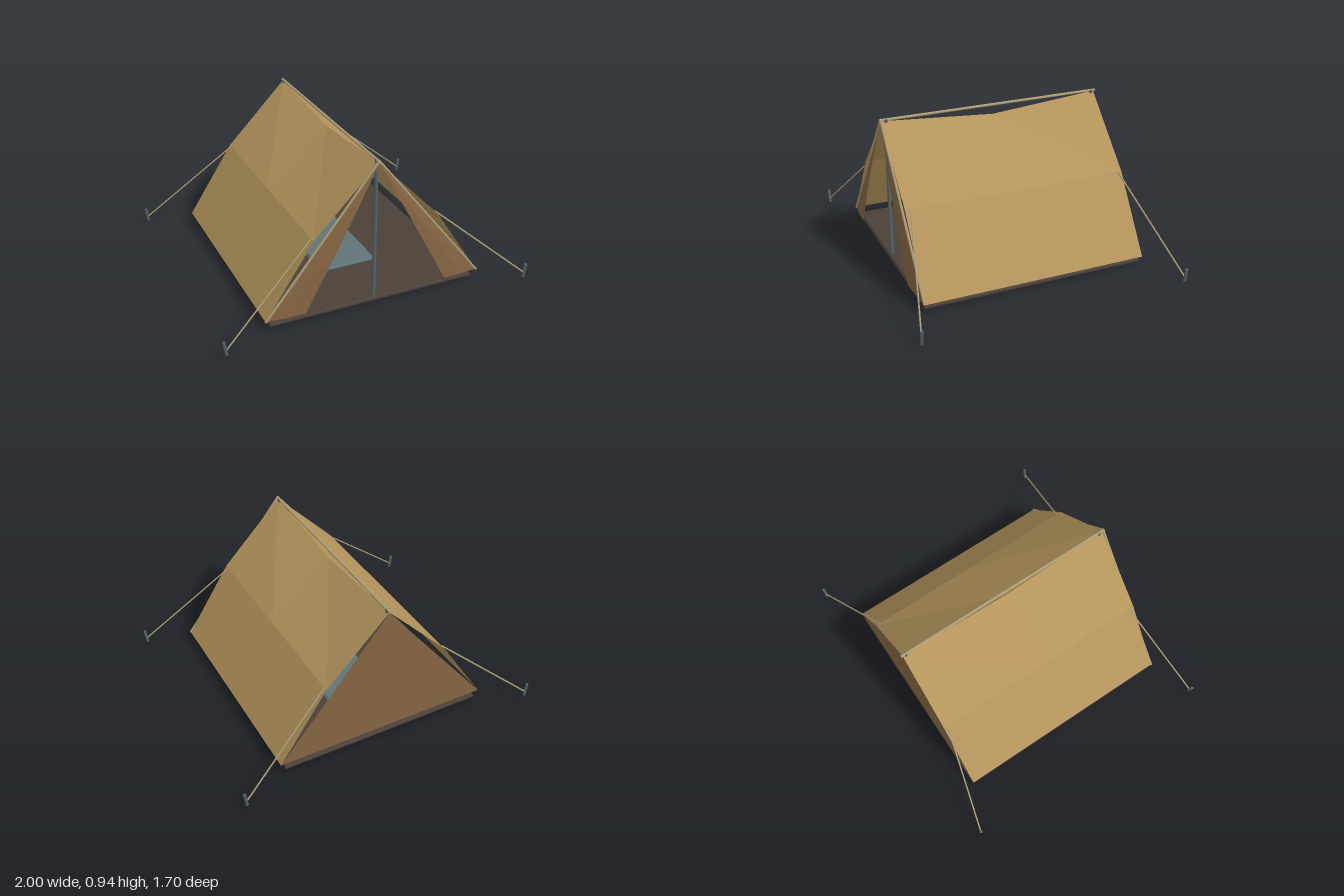
import * as THREE from 'three';

const mat = (name, color, side = THREE.FrontSide) => {
  const m = new THREE.MeshStandardMaterial({ color, side });
  m.name = name;
  return m;
};

// Flat-faced sheet spanning rows of points of equal length
function sheet(rows) {
  const pos = [];
  for (let i = 0; i < rows.length - 1; i++) {
    for (let j = 0; j < rows[i].length - 1; j++) {
      const a = rows[i][j], b = rows[i + 1][j], c = rows[i + 1][j + 1], d = rows[i][j + 1];
      pos.push(...a, ...b, ...c, ...a, ...c, ...d);
    }
  }
  const g = new THREE.BufferGeometry();
  g.setAttribute('position', new THREE.Float32BufferAttribute(pos, 3));
  g.computeVertexNormals();
  return g;
}

// Slab with chamfered edges, lying between y0 and y1
function slab(w, d, y0, y1, bevel) {
  const x = w / 2 - bevel, z = d / 2 - bevel;
  const shape = new THREE.Shape([
    new THREE.Vector2(-x, -z), new THREE.Vector2(x, -z),
    new THREE.Vector2(x, z), new THREE.Vector2(-x, z),
  ]);
  const g = new THREE.ExtrudeGeometry(shape, {
    depth: y1 - y0 - 2 * bevel, bevelEnabled: true,
    bevelThickness: bevel, bevelSize: bevel, bevelSegments: 1,
  });
  g.rotateX(-Math.PI / 2);
  g.translate(0, y0 + bevel, 0);
  return g;
}

// Round rod between two points
function rod(a, b, r, sides = 8) {
  const p = new THREE.Vector3(...a), q = new THREE.Vector3(...b);
  const dir = q.clone().sub(p);
  const g = new THREE.CylinderGeometry(r, r, dir.length(), sides);
  g.applyQuaternion(new THREE.Quaternion().setFromUnitVectors(
    new THREE.Vector3(0, 1, 0), dir.normalize()));
  g.translate(...p.add(q).multiplyScalar(0.5).toArray());
  return g;
}

export function createModel() {
  const tent = new THREE.Group();
  tent.name = 'tent';
  const canvas = mat('canvas', 0xb5955c, THREE.DoubleSide);
  const darkCanvas = mat('darkCanvas', 0x866543, THREE.DoubleSide);
  const metal = mat('metal', 0x55646a);
  const rope = mat('rope', 0xaf9f78);
  const ground = mat('groundCloth', 0x4c4038);
  const blanket = mat('blanket', 0x5f7478);
  const linen = mat('linen', 0xcdbd90);

  const add = (name, geometry, material) => {
    const m = new THREE.Mesh(geometry, material);
    m.name = name;
    tent.add(m);
    return m;
  };

  // Floor and bedding
  add('groundSheet', slab(1.34, 1.42, 0.005, 0.035, 0.01), ground);
  const bed = add('sleepingMat', slab(0.38, 0.98, 0.035, 0.064, 0.012), blanket);
  bed.position.z = -0.15;
  const pillow = add('pillow', slab(0.32, 0.22, 0.064, 0.132, 0.02), linen);
  pillow.position.z = -0.48;

  // Ridge pole and uprights
  add('ridgePole', rod([0, 0.935, 0.73], [0, 0.935, -0.72], 0.009), rope);
  for (const z of [0.69, -0.69]) {
    add('uprightPole', rod([0, 0.03, z], [0, 0.94, z], 0.012), metal);
  }

  // Closed back wall
  add('backWall', sheet([
    [[0, 0.925, -0.71], [0, 0.925, -0.71]],
    [[-0.7, 0.06, -0.71], [0.7, 0.06, -0.71]],
  ]), darkCanvas);

  for (const s of [-1, 1]) {
    // Roof side: sagging at the ridge, bent outward at the knee
    const stations = [0.72, 0, -0.71];
    add('roofPanel', sheet([
      stations.map((z) => [0, z === 0 ? 0.873 : 0.93, z]),
      stations.map((z) => [s * 0.4, 0.52, z]),
      stations.map((z) => [s * 0.7, 0.06, z]),
    ].map((row) => (s > 0 ? row : row.reverse()))), canvas);

    // Door flap, pulled aside and bellied slightly forward
    const rows = [];
    for (let i = 0; i <= 6; i++) {
      const t = i / 6;
      const belly = 0.02 * Math.sin(Math.min(1, t * 1.5) * Math.PI / 2);
      const y = 0.925 - 0.862 * t;
      rows.push([
        [s * 0.46 * t, y + 0.007 * t, 0.722 + belly],
        [s * 0.58 * t, y + 0.003 * t, 0.722 + belly * 0.7],
        [s * 0.7 * t, y, 0.72],
      ].sort((a, b) => a[0] - b[0]));
    }
    add('doorFlap', sheet(rows), darkCanvas);

    // Front edge cord
    add('edgeCord', rod([0, 0.94, 0.722], [s * 0.7, 0.06, 0.722], 0.008, 6), rope);

    // Guy lines and stakes
    for (const f of [-1, 1]) {
      add('guyLine', rod([s * 0.4, 0.52, f * 0.685], [s * 0.98, 0.03, f * 0.84], 0.005, 6), rope);
      add('stake', rod([s * 0.977, 0.002, f * 0.84], [s * 0.989, 0.09, f * 0.84], 0.01, 6), metal);
    }
  }
  return tent;
}
